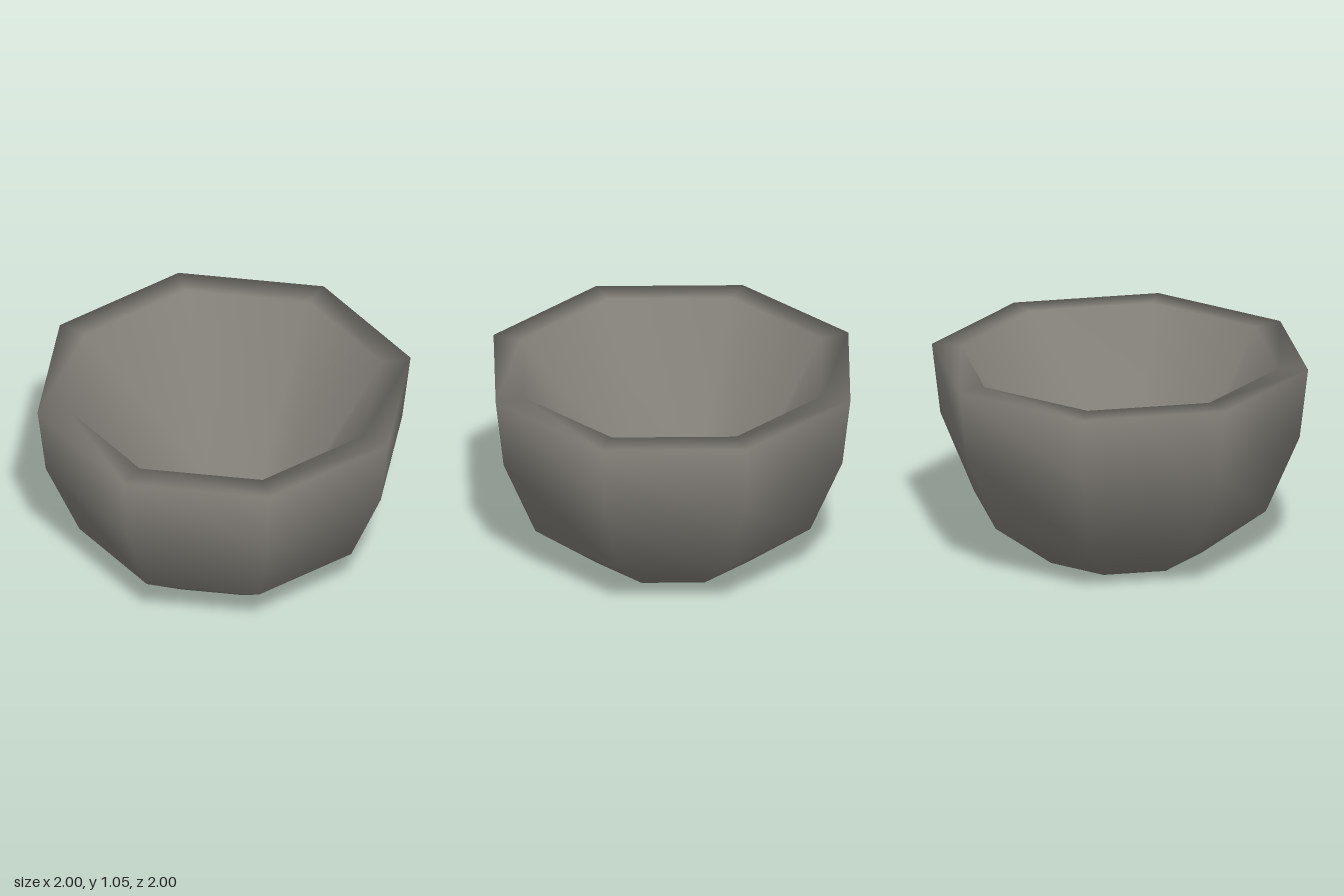
import * as THREE from 'three';
import { mergeVertices } from 'three/addons/utils/BufferGeometryUtils.js';

export function createModel() {
  const model = new THREE.Group();
  const stone = new THREE.MeshStandardMaterial({ color: 0x827f78 });
  stone.name = 'warm grey stone';

  // Closed profile: underside, outer wall, flat rim, sloping inner wall, small floor
  const profile = [
    [0, 0], [0.43, 0], [0.775, 0.257], [0.955, 0.68], [1, 1.055],
    [0.845, 1.055], [0.36, 0.2], [0, 0.2],
  ].map(([r, y]) => new THREE.Vector2(r, y));

  // Eight-sided bowl, shared corners so the shading is smooth by face area
  const lathe = new THREE.LatheGeometry(profile, 8);
  lathe.deleteAttribute('normal');
  lathe.deleteAttribute('uv');
  const geometry = mergeVertices(lathe, 1e-4);
  geometry.computeVertexNormals();

  const bowl = new THREE.Mesh(geometry, stone);
  bowl.name = 'bowl';
  model.add(bowl);
  return model;
}
